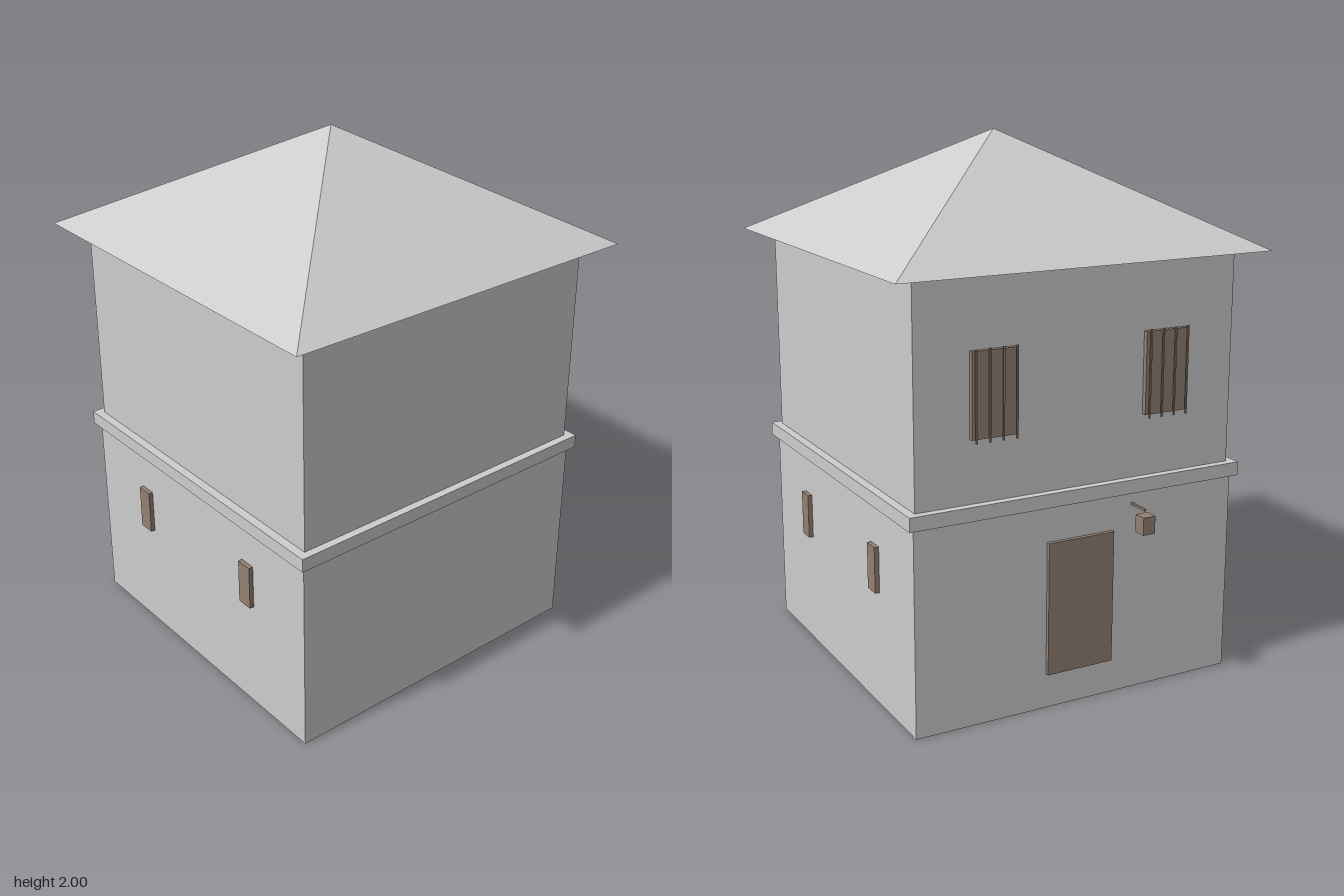
import * as THREE from 'three';

export function createModel() {
  const model = new THREE.Group();
  model.name = 'house';

  const stone = new THREE.MeshStandardMaterial({ color: 0xcccccc });
  stone.name = 'pale stone';
  const roofStone = new THREE.MeshStandardMaterial({ color: 0xcccccc, side: THREE.DoubleSide, flatShading: true });
  roofStone.name = 'pale roof';
  const wood = new THREE.MeshStandardMaterial({ color: 0x938071 });
  wood.name = 'brown wood';

  // Box given by its limits on each axis
  function box(name, [x0, x1], [y0, y1], [z0, z1], material, parent = model) {
    const mesh = new THREE.Mesh(new THREE.BoxGeometry(x1 - x0, y1 - y0, z1 - z0), material);
    mesh.position.set((x0 + x1) / 2, (y0 + y1) / 2, (z0 + z1) / 2);
    mesh.name = name;
    parent.add(mesh);
    return mesh;
  }

  // Two storeys with a projecting band between them
  box('lowerStorey', [-0.643, 0.643], [0, 0.757], [-0.63, 0.66], stone);
  box('floorBand', [-0.665, 0.665], [0.757, 0.808], [-0.65, 0.682], stone);
  box('upperStorey', [-0.632, 0.632], [0.808, 1.593], [-0.62, 0.652], stone);

  // Open pyramid roof with overhanging eaves
  const roofGeometry = new THREE.ConeGeometry(0.728 * Math.SQRT2, 0.407, 4, 1, true);
  roofGeometry.rotateY(Math.PI / 4);
  const roof = new THREE.Mesh(roofGeometry, roofStone);
  roof.position.set(0, 1.593 + 0.407 / 2, 0.016);
  roof.name = 'roof';
  model.add(roof);

  // Small side windows, two on each side
  for (const side of [-1, 1]) {
    for (const z of [0.337, -0.308]) {
      const xs = [side * 0.635, side * 0.66].sort((a, b) => a - b);
      box('sideWindow', xs, [0.432, 0.603], [z - 0.032, z + 0.032], wood);
    }
  }

  // Back door
  box('door', [-0.133, 0.133], [0.13, 0.625], [-0.645, -0.625], wood);

  // Upper back windows with four free-standing bars each
  for (const x of [-0.342, 0.342]) {
    const barredWindow = new THREE.Group();
    barredWindow.name = 'barredWindow';
    model.add(barredWindow);
    box('shutter', [x - 0.086, x + 0.086], [1.035, 1.335], [-0.638, -0.615], wood, barredWindow);
    for (let i = 0; i < 4; i++) {
      const bx = x - 0.077 + i * 0.0513;
      box('bar', [bx - 0.003, bx + 0.003], [1.025, 1.345], [-0.655, -0.649], wood, barredWindow);
    }
  }

  // Hanging lantern beside the door
  const lantern = new THREE.Group();
  lantern.name = 'lantern';
  model.add(lantern);
  box('lanternArm', [-0.219, -0.211], [0.708, 0.716], [-0.715, -0.625], wood, lantern);
  box('lanternBody', [-0.24, -0.191], [0.63, 0.695], [-0.742, -0.692], wood, lantern);

  return model;
}
